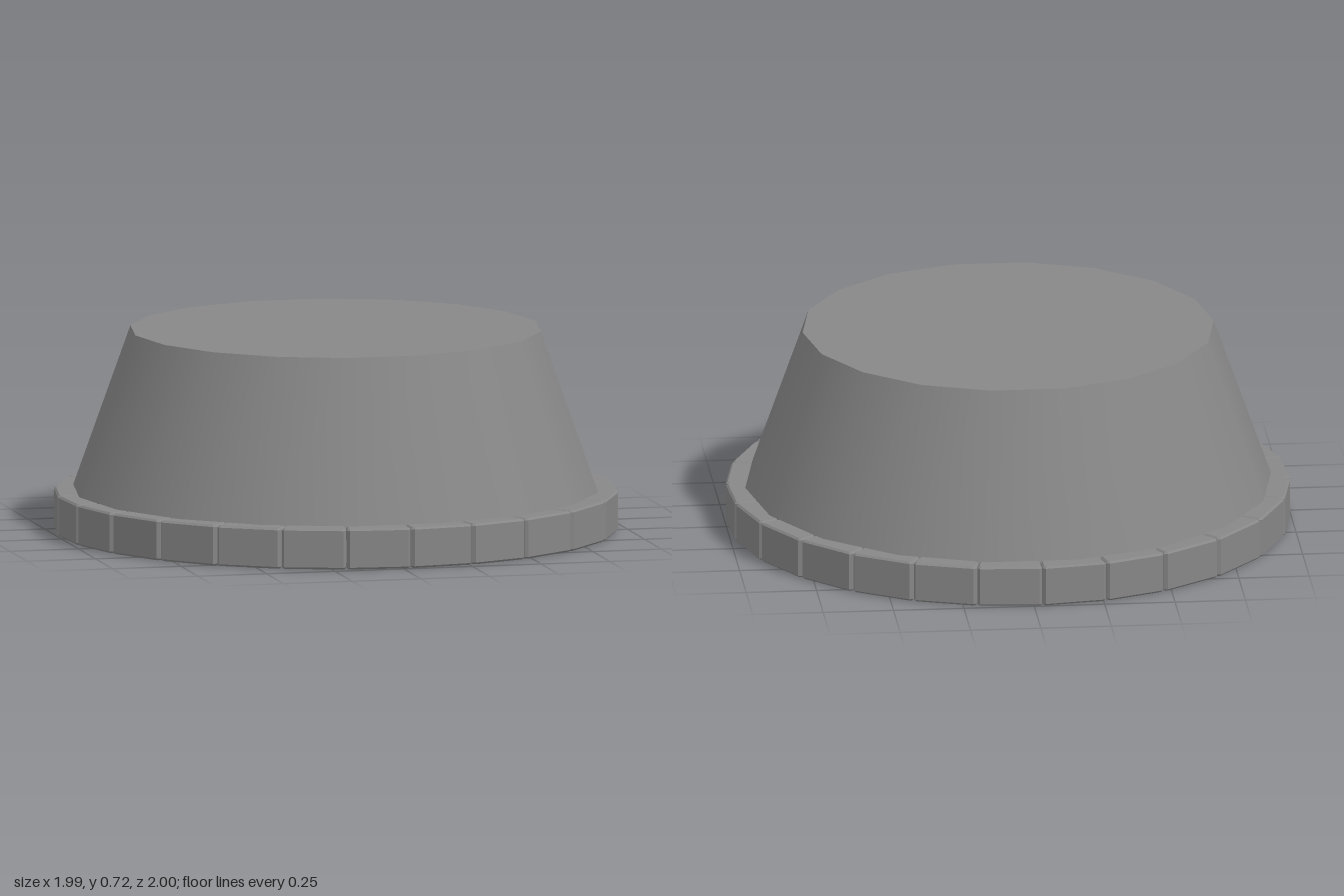
import * as THREE from 'three';

const material = new THREE.MeshStandardMaterial({ color: 0x878787 });
const rad = THREE.MathUtils.degToRad;

// Joints between blocks over half the ring, in degrees from +z towards +x
const HALF_JOINTS = [1.7, 15.2, 28.5, 43, 58.2, 72.9, 86.5, 99.8, 113.4, 127.3, 141, 154.9, 168.3];
const OUTER = 0.998, INNER = 0.893, HEIGHT = 0.145;
const BEVEL = 0.007, CHAMFER = 0.006, GAP = 0.001;

// One wedge-shaped block with all edges bevelled, spanning two joint angles
function blockGeometry(a0, a1) {
  const inset = GAP + BEVEL;
  const point = (r, a, shift) => new THREE.Vector2(
    r * Math.sin(a) + shift * Math.cos(a),
    r * Math.cos(a) - shift * Math.sin(a)
  );
  const ro = OUTER - BEVEL, ri = INNER + BEVEL, cut = inset + CHAMFER;
  const shape = new THREE.Shape([
    point(ro - CHAMFER, a0, inset), point(ro, a0, cut),
    point(ro, a1, -cut), point(ro - CHAMFER, a1, -inset),
    point(ri + CHAMFER, a1, -inset), point(ri, a1, -cut),
    point(ri, a0, cut), point(ri + CHAMFER, a0, inset)
  ]);
  const geometry = new THREE.ExtrudeGeometry(shape, {
    depth: HEIGHT - 2 * BEVEL, bevelEnabled: true,
    bevelSize: BEVEL, bevelThickness: BEVEL, bevelSegments: 1
  });
  geometry.rotateX(Math.PI / 2);
  geometry.translate(0, HEIGHT - BEVEL, 0);
  return geometry;
}

export function createModel() {
  const group = new THREE.Group();
  group.name = 'roundPlatform';

  // Smooth tapered mound with a flat top, its base tucked into the ring
  const top = 0.717, bottom = 0.02;
  const mound = new THREE.Mesh(
    new THREE.CylinderGeometry(0.73, 0.978, top - bottom, 18, 1, false, rad(10)), material);
  mound.name = 'mound';
  mound.position.set(0, (top + bottom) / 2, -0.008);
  group.add(mound);

  // Ring of blocks around the foot
  const ring = new THREE.Group();
  ring.name = 'blockRing';
  ring.position.z = -0.003;
  const joints = [...HALF_JOINTS, ...HALF_JOINTS.map(a => a + 180)];
  joints.forEach((a, i) => {
    const next = i + 1 < joints.length ? joints[i + 1] : joints[0] + 360;
    const block = new THREE.Mesh(blockGeometry(rad(a), rad(next)), material);
    block.name = 'ringBlock' + (i + 1);
    ring.add(block);
  });
  group.add(ring);

  return group;
}
